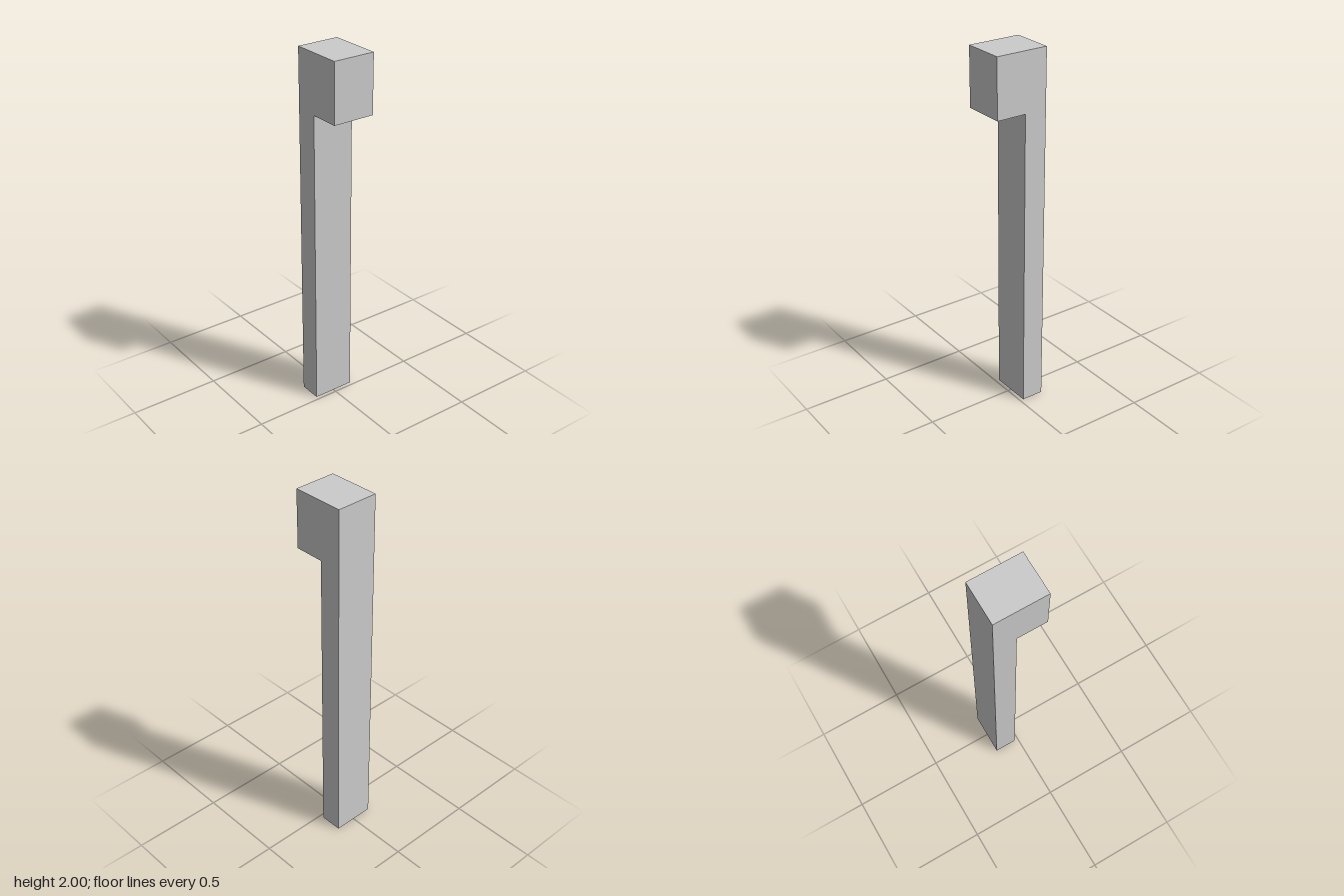
import * as THREE from 'three';

const LEFT = -0.146, INNER = -0.021, RIGHT = 0.146; // x of the post and head sides
const TOP = 2, HEAD = 1.68, HALF = 0.117;           // heights and half depth

export function createModel() {
  const group = new THREE.Group();
  group.name = 'bracketPost';
  const material = new THREE.MeshStandardMaterial({
    color: 0xcccccc, flatShading: true, side: THREE.DoubleSide,
  });
  const add = (name, geometry) => {
    const mesh = new THREE.Mesh(geometry, material);
    mesh.name = name;
    group.add(mesh);
    return mesh;
  };

  // Front and back panels share one L-shaped outline
  const outline = new THREE.Shape([
    [LEFT, 0], [INNER, 0], [INNER, HEAD], [RIGHT, HEAD], [RIGHT, TOP], [LEFT, TOP],
  ].map(([x, y]) => new THREE.Vector2(x, y)));
  const panel = new THREE.ShapeGeometry(outline);
  add('frontPanel', panel.clone().translate(0, 0, HALF));
  // Mirrored across the outline so that it faces backwards
  add('backPanel', panel.clone().rotateY(Math.PI).scale(-1, 1, 1).translate(0, 0, -HALF));
  const index = group.children[1].geometry.index;
  for (let i = 0; i < index.count; i += 3) {
    const a = index.getX(i);
    index.setX(i, index.getX(i + 1));
    index.setX(i + 1, a);
  }
  group.children[1].geometry.computeVertexNormals();

  // Side walls: the shell is hollow and open underneath the post and the head
  const wall = (name, x, y0, y1, facing) => add(name,
    new THREE.PlaneGeometry(2 * HALF, y1 - y0)
      .rotateY(facing * Math.PI / 2)
      .translate(x, (y0 + y1) / 2, 0));
  wall('outerWall', LEFT, 0, TOP, -1);
  wall('postInnerWall', INNER, 0, HEAD, 1);
  wall('headEndWall', RIGHT, HEAD, TOP, 1);

  // Top cap over post and head
  add('topCap', new THREE.PlaneGeometry(RIGHT - LEFT, 2 * HALF)
    .rotateX(-Math.PI / 2)
    .translate(0, TOP, 0));

  return group;
}
